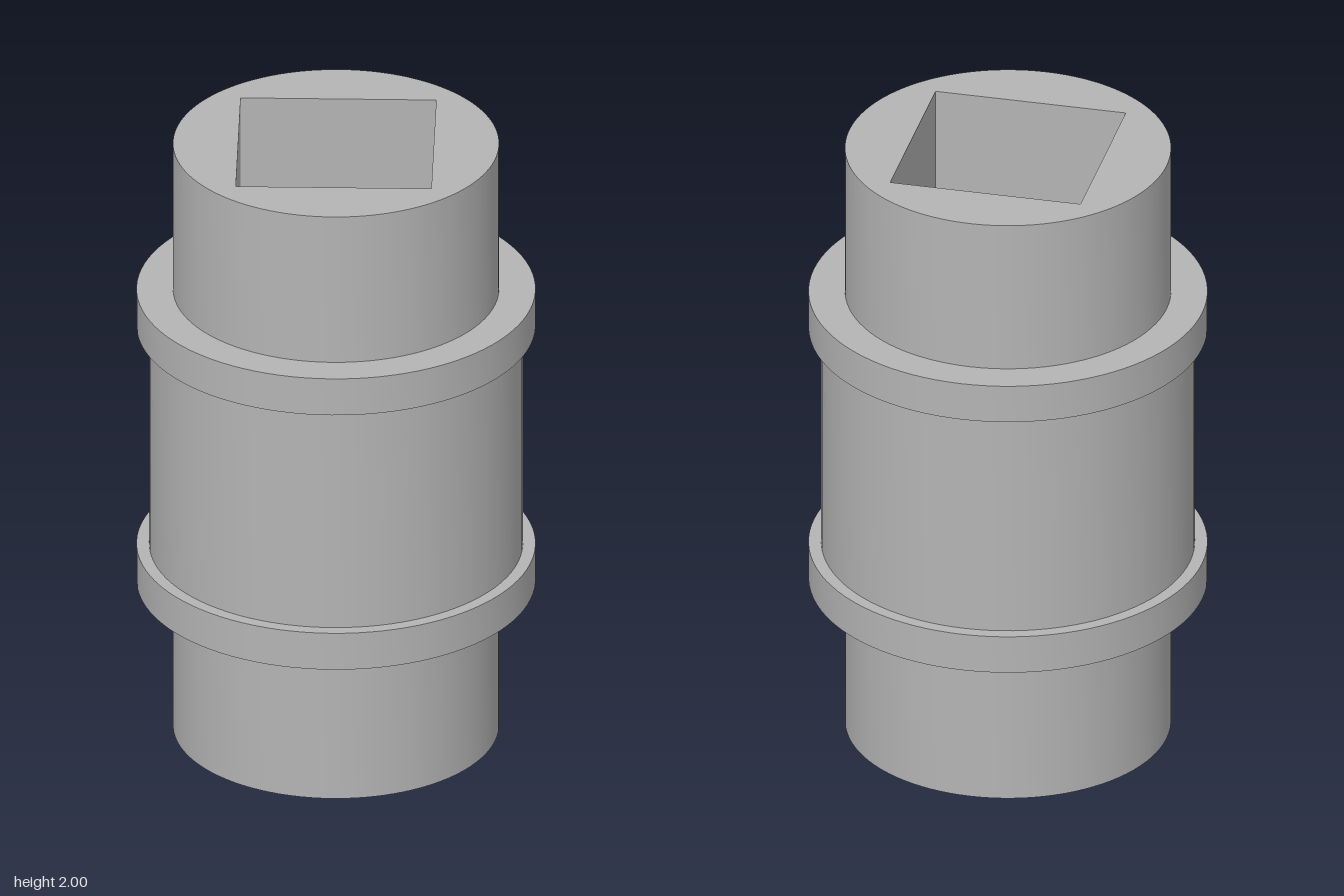
import * as THREE from 'three';
import { toCreasedNormals } from 'three/addons/utils/BufferGeometryUtils.js';

const SEGMENTS = 96;
const HEIGHT = 2;
const BORE = 0.6;
const R_END = 0.5, R_BARREL = 0.573, R_COLLAR = 0.612;

export function createModel() {
  const model = new THREE.Group();
  model.name = 'squareBoreSleeve';

  const steel = new THREE.MeshStandardMaterial({ color: 0xb4b4b4 });
  steel.name = 'grey steel';

  const add = (name, geometry) => {
    const mesh = new THREE.Mesh(geometry, steel);
    mesh.name = name;
    model.add(mesh);
    return mesh;
  };

  // Turned surface from [radius, y] points, listed upwards, with sharp edges
  const turned = (name, points) => add(name, toCreasedNormals(
    new THREE.LatheGeometry(points.map(([r, y]) => new THREE.Vector2(r, y)), SEGMENTS), Math.PI / 6));

  // Outer body: end journals, collars and the barrel between them
  turned('lowerJournal', [[R_END, 0], [R_END, 0.5]]);
  turned('lowerCollar', [[R_END, 0.5], [R_COLLAR, 0.5], [R_COLLAR, 0.625], [R_BARREL, 0.625]]);
  turned('barrel', [[R_BARREL, 0.625], [R_BARREL, 1.375]]);
  turned('upperCollar', [[R_BARREL, 1.375], [R_COLLAR, 1.375], [R_COLLAR, 1.5], [R_END, 1.5]]);
  turned('upperJournal', [[R_END, 1.5], [R_END, HEIGHT]]);

  // Flat end faces: a disc with a square hole
  const h = BORE / 2;
  const face = new THREE.Shape().absarc(0, 0, R_END, 0, Math.PI * 2, false);
  face.holes.push(new THREE.Path([[-h, -h], [-h, h], [h, h], [h, -h], [-h, -h]]
    .map(([x, y]) => new THREE.Vector2(x, y))));
  const faceGeometry = new THREE.ShapeGeometry(face, SEGMENTS);
  const topFace = add('topFace', faceGeometry);
  topFace.rotation.x = -Math.PI / 2;
  topFace.position.y = HEIGHT;
  add('bottomFace', faceGeometry).rotation.x = Math.PI / 2;

  // Square through bore: four walls facing the axis
  const wall = new THREE.PlaneGeometry(BORE, HEIGHT).translate(0, HEIGHT / 2, -h);
  for (let i = 0; i < 4; i++) add('boreWall' + (i + 1), wall).rotation.y = i * Math.PI / 2;

  return model;
}
